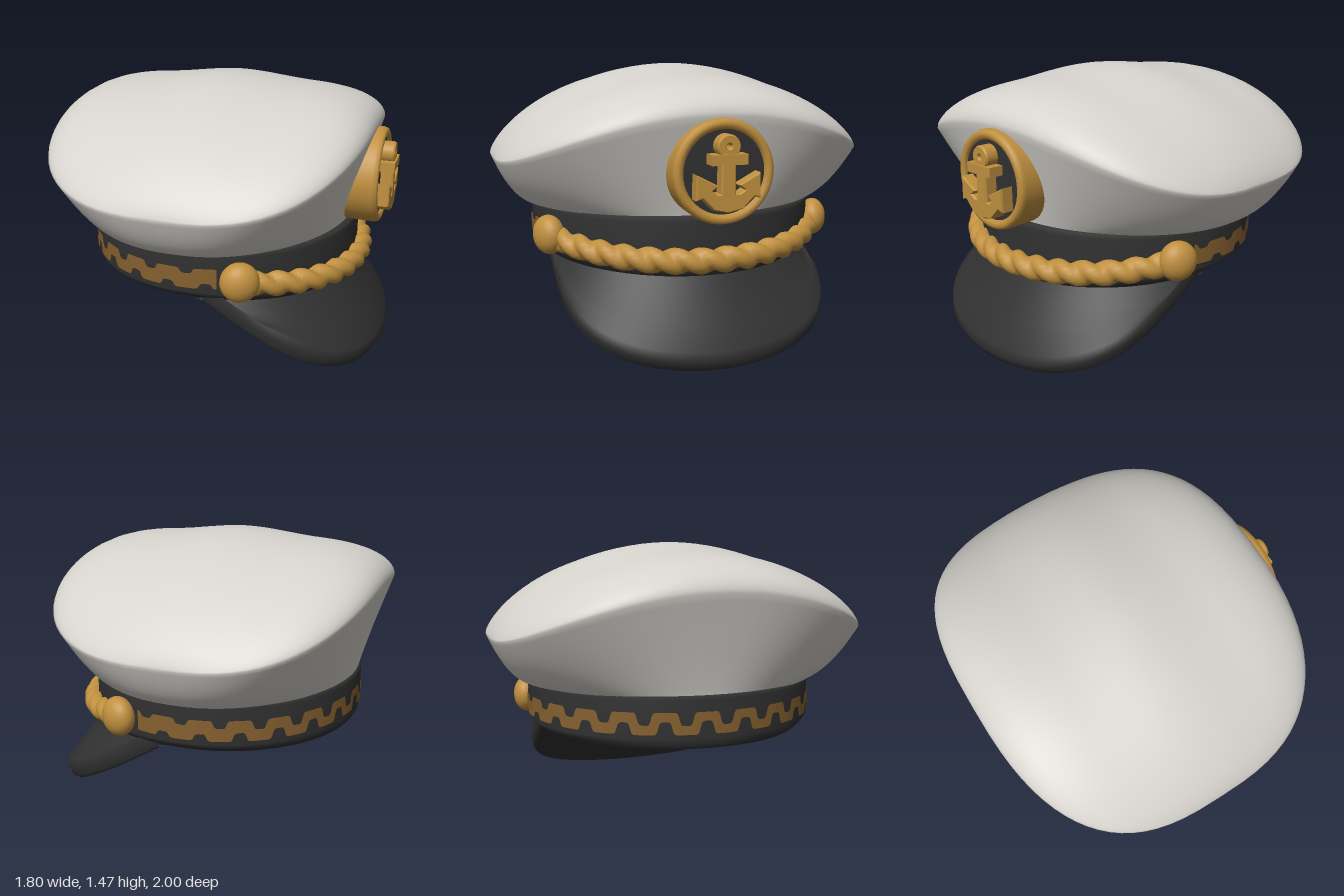
import * as THREE from 'three';
import { mergeVertices } from 'three/addons/utils/BufferGeometryUtils.js';

const mat = (name, color) => Object.assign(new THREE.MeshStandardMaterial({ color }), { name });

// Smooth skin through rows (i) of points (j)
function loft(rows, cols, point) {
  const pos = [], index = [];
  for (let i = 0; i <= rows; i++)
    for (let j = 0; j <= cols; j++) pos.push(...point(i / rows, j / cols, i));
  for (let i = 0; i < rows; i++)
    for (let j = 0; j < cols; j++) {
      const a = i * (cols + 1) + j, b = a + cols + 1;
      index.push(a, b, a + 1, a + 1, b, b + 1);
    }
  let g = new THREE.BufferGeometry();
  g.setAttribute('position', new THREE.Float32BufferAttribute(pos, 3));
  g.setIndex(index);
  g = mergeVertices(g, 1e-5);
  g.computeVertexNormals();
  return g;
}

const TAU = Math.PI * 2;
const { lerp, smoothstep } = THREE.MathUtils;
const sgnPow = (v, p) => Math.sign(v) * Math.abs(v) ** p;
const CX = -0.04, RX = 0.74, RZ = 0.79; // headband ellipse

export function createModel() {
  const group = new THREE.Group();
  const white = mat('crownWhite', 0xd6d3cd);
  const black = mat('bandBlack', 0x313131);
  const gold = mat('gold', 0xc0903f);
  const bronze = mat('embroideryBronze', 0x85602f);
  bronze.side = THREE.DoubleSide;
  const add = (name, geometry, material, parent = group) => {
    const m = new THREE.Mesh(geometry, material);
    m.name = name;
    parent.add(m);
    return m;
  };

  // Crown: flaring wall up to a drooping rim, then a dome with a low central hump
  const domeY = (x, z) => 0.98 + 0.495 * Math.max(0, 1 - Math.abs(z) ** 1.9) ** 0.69
    - 0.035 * (1 - z * z) * smoothstep(Math.abs(x), 0, 0.42);
  const rimY = z => 1.245 - 0.265 * z * z;
  add('crown', loft(44, 80, (u, v) => {
    const c = Math.cos(v * TAU), s = Math.sin(v * TAU);
    const ox = 0.845 * sgnPow(c, 2 / 2.8), oz = sgnPow(s, 2 / 2.8);
    if (u <= 0.5) {
      const h = (u * 2) ** 1.6;
      const f = h ** lerp(1.1, 0.45, s * s);
      return [lerp(-0.05 + 0.715 * c, -0.055 + ox, f), lerp(0.735, rimY(oz), h), lerp(0.775 * s, oz, f)];
    }
    const r = Math.cos((u - 0.5) * Math.PI);
    const drop = (domeY(ox, oz) - rimY(oz)) * (1 - Math.sqrt(Math.max(0, 1 - r ** 4)));
    return [-0.055 + ox * r, domeY(ox * r, oz * r) - drop, oz * r];
  }), white);

  // Headband with closed underside and softly rounded edges
  const bandRows = [[0, 0], [0.94, 0], [0.975, 0.005], [0.995, 0.03], [1, 0.06], [1, 0.25], [0.99, 0.27], [0.93, 0.275]];
  add('headband', loft(bandRows.length - 1, 72, (u, v, i) => {
    const [r, h] = bandRows[i], x = CX + RX * r * Math.cos(v * TAU);
    const bottom = 0.475 - 0.06 * Math.max(0, x);
    return [x, bottom + h * (0.75 - bottom) / 0.275, RZ * r * Math.min(1, 0.94 + h) * Math.sin(v * TAU)];
  }), black);

  // Visor: sloping wedge, rows run underside, lip, upper face
  add('visor', loft(7, 64, (u, v, i) => {
    const a = Math.PI / 2 * Math.sin((v * 2 - 1) * Math.PI / 2);
    const c = Math.max(0, Math.cos(a)), s = Math.sin(a), t = Math.sqrt(c);
    const x = 0.02 + 0.82 * t, y = 0.49 - 0.488 * t ** 0.92, z = 0.73 * s;
    if (i === 0) return [x, y, 0];
    if (i === 1) return [x, y, z * 0.97];
    if (i === 2) return [x + 0.025 * t, y + 0.015, z * 0.995];
    if (i === 3) return [x + 0.052 * t, y + 0.06, z];
    const k = (i - 4) / 3;
    return [lerp(x + 0.045 * t, CX + 0.7 * c, k), lerp(y + 0.11, 0.47, k), z];
  }), black);

  // Embroidered meander around the sides and back of the band
  const wave = a => Math.tanh(4 * Math.sin(24 * a));
  add('bandEmbroidery', loft(1, 500, (u, v) => {
    const a = lerp(1.3, TAU - 1.3, v), back = Math.max(0, -Math.cos(a));
    const lo = Math.min(wave(a - 0.022), wave(a + 0.022));
    const hi = Math.max(wave(a - 0.022), wave(a + 0.022));
    const amp = lerp(0.014, 0.034, back), half = lerp(0.04, 0.022, back);
    const y = 0.612 + (u ? hi * amp + half : lo * amp - half);
    return [CX + (RX + 0.005) * Math.cos(a), y, (RZ + 0.005) * Math.sin(a)];
  }), bronze);

  // Twisted rope across the front
  add('rope', loft(20, 260, (u, v) => {
    const t = v * 2 - 1, a = t * 1.14, al = u * TAU;
    const r = 0.044 + 0.023 * Math.abs(Math.cos(al - t * 7 * Math.PI));
    const out = r * Math.cos(al) - 0.01;
    return [CX + (RX + 0.03 + out) * Math.cos(a), 0.527 + 0.07 * t * t + r * Math.sin(al),
      (RZ + 0.01 + out) * Math.sin(a)];
  }), gold);

  // Rope buttons
  for (const side of [1, -1]) {
    const b = add(side > 0 ? 'leftButton' : 'rightButton', new THREE.SphereGeometry(0.1, 24, 16), gold);
    b.scale.set(1, 1.03, 0.75);
    b.position.set(0.275, 0.61, side * 0.755);
    b.rotation.y = side * 0.42;
  }

  // Badge facing +x: rimmed drum, dark field, raised anchor
  const badge = new THREE.Group();
  badge.name = 'badge';
  badge.position.set(0, 0.983, 0);
  group.add(badge);
  const profile = [[0.25, 0.6], [0.256, 0.81], [0.25, 0.832], [0.235, 0.84], [0.218, 0.838], [0.205, 0.825], [0.203, 0.79]];
  const rim = add('badgeRim', new THREE.LatheGeometry(profile.map(p => new THREE.Vector2(...p)), 48), gold, badge);
  rim.rotation.z = -Math.PI / 2;
  const field = add('badgeField', new THREE.CylinderGeometry(0.206, 0.206, 0.2, 40), black, badge);
  field.rotation.z = -Math.PI / 2;
  field.position.x = 0.722;

  const anchor = new THREE.Group();
  anchor.name = 'anchor';
  anchor.position.x = 0.82;
  anchor.rotation.y = Math.PI / 2;
  badge.add(anchor);
  const half = [[0.028, 0.1], [0.032, -0.1], [0.06, -0.1], [0.09, -0.078], [0.06, -0.055],
    [0.155, -0.005], [0.157, -0.115], [0.13, -0.105], [0.07, -0.165]];
  const outline = [...half, [0, -0.18], ...half.map(([x, y]) => [-x, y]).reverse()];
  const solid = (shape, depth) => new THREE.ExtrudeGeometry(shape,
    { depth, bevelEnabled: true, bevelSize: 0.006, bevelThickness: 0.01, bevelSegments: 1, curveSegments: 20 });
  add('anchorShankAndFlukes', solid(new THREE.Shape(outline.map(p => new THREE.Vector2(...p))), 0.06), gold, anchor);
  const stock = add('anchorStock', new THREE.BoxGeometry(0.18, 0.05, 0.08), gold, anchor);
  stock.position.set(0, 0.068, 0.04);
  const loop = new THREE.Shape().absarc(0, 0.128, 0.052, 0, TAU);
  loop.holes.push(new THREE.Path().absarc(0, 0.13, 0.018, 0, TAU, true));
  add('anchorLoop', solid(loop, 0.06), gold, anchor);

  return group;
}
